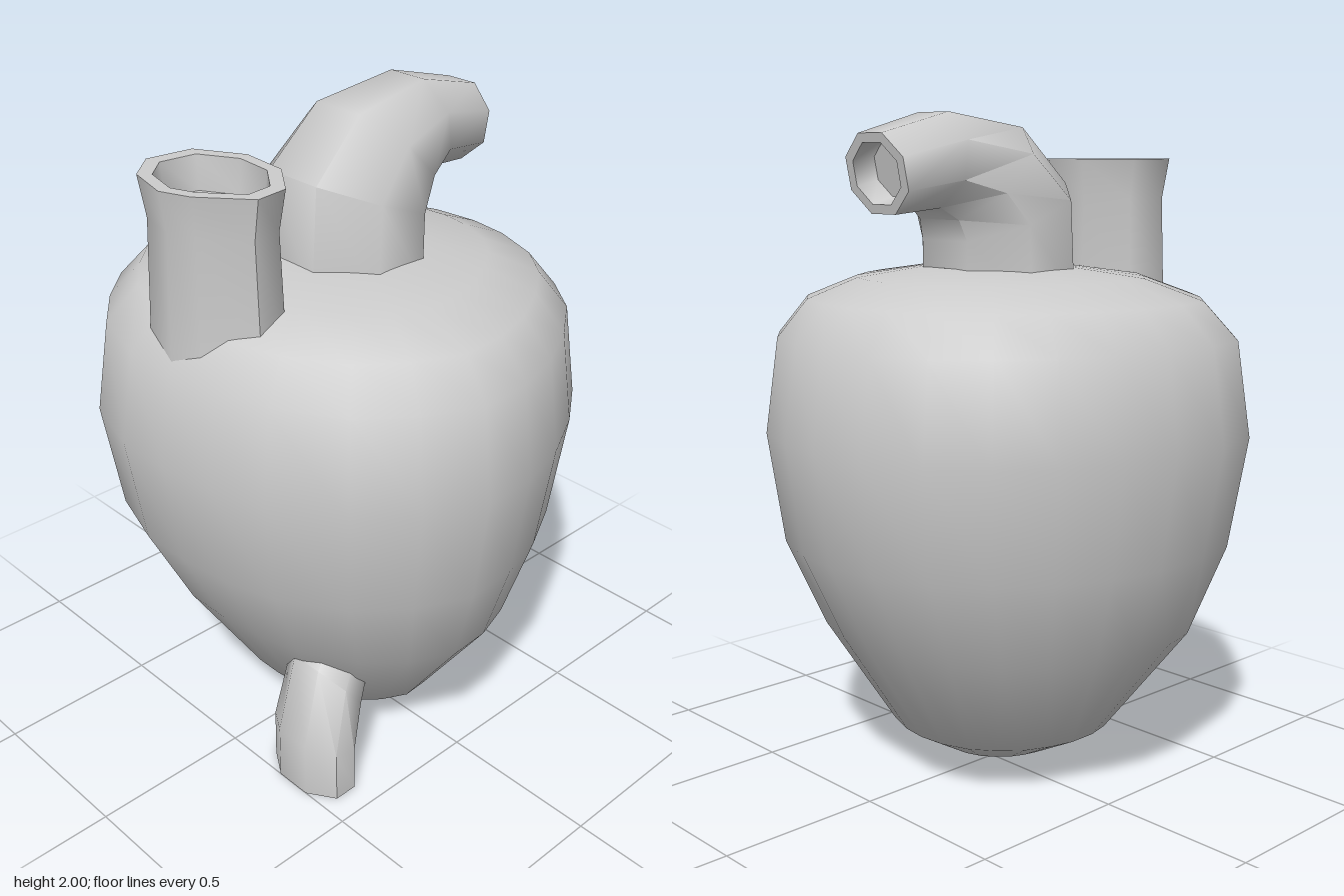
import * as THREE from 'three';
import { toCreasedNormals } from 'three/addons/utils/BufferGeometryUtils.js';

const grey = new THREE.MeshStandardMaterial({ color: 0xcccccc });

// Skin a list of closed rings (equal point counts); sharp rims stay creased
function loft(name, rings) {
  const n = rings[0].length, index = [];
  for (let r = 0; r < rings.length - 1; r++) {
    for (let i = 0; i < n; i++) {
      const a = r * n + i, b = r * n + (i + 1) % n;
      index.push(a, b, a + n, b, b + n, a + n);
    }
  }
  const geo = new THREE.BufferGeometry();
  geo.setAttribute('position', new THREE.Float32BufferAttribute(rings.flat(2), 3));
  geo.setIndex(index);
  const mesh = new THREE.Mesh(toCreasedNormals(geo, 0.95), grey);
  mesh.name = name;
  return mesh;
}

// Octagonal ring spanning from point a to point b in the xy plane, half depth hz
function spanRing([ax, ay, bx, by, hz], z, scale = 1, dx = 0, dy = 0) {
  const k = scale / Math.cos(Math.PI / 8);
  return Array.from({ length: 8 }, (_, i) => {
    const t = (i + 0.5) * Math.PI / 4, c = Math.cos(t) * k / 2;
    return [(ax + bx) / 2 + (bx - ax) * c + dx, (ay + by) / 2 + (by - ay) * c + dy,
      z - Math.sin(t) * hz * k];
  });
}

// Horizontal ring: an outline scaled about a centre
const flatRing = (outline, y, sx, sz, cx = 0, cz = 0) =>
  outline.map(([x, z]) => [cx + (x - cx) * sx, y, cz + (z - cz) * sz]);

export function createModel() {
  const group = new THREE.Group();

  // Main body: one rounded outline, scaled at each height
  const bodyOutline = [
    [-0.2, -0.73], [0, -0.73], [0.17, -0.69], [0.34, -0.62], [0.48, -0.51], [0.6, -0.37],
    [0.67, -0.2], [0.69, -0.02], [0.67, 0.14], [0.6, 0.33], [0.49, 0.47], [0.34, 0.58],
    [0.17, 0.67], [0, 0.72], [-0.18, 0.73], [-0.35, 0.65], [-0.5, 0.53], [-0.62, 0.33],
    [-0.67, 0.16], [-0.69, -0.02], [-0.69, -0.2], [-0.62, -0.42], [-0.5, -0.57], [-0.37, -0.69],
  ].reverse();
  const bodyLevels = [
    [0.065, 0, 0], [0.07, 0.24, 0.27], [0.15, 0.44, 0.48], [0.48, 0.74, 0.81], [0.75, 0.93, 0.93],
    [1.08, 1, 1], [1.36, 0.94, 0.95], [1.47, 0.81, 0.82], [1.53, 0.6, 0.59], [1.56, 0.3, 0.3],
    [1.56, 0, 0],
  ];
  group.add(loft('body', bodyLevels.map(([y, sx, sz]) => flatRing(bodyOutline, y, sx, sz))));

  // Upright vessel with a flared, hollow mouth
  const mouth = [
    [-0.51, -0.25], [-0.37, -0.23], [-0.29, -0.09], [-0.3, 0.06],
    [-0.39, 0.18], [-0.49, 0.19], [-0.6, 0.06], [-0.635, -0.03], [-0.6, -0.17],
  ].reverse();
  const uprightLevels = [
    [1.2, 0.98], [1.42, 0.96], [1.75, 0.9], [1.87, 1], [1.87, 0.79], [1.77, 0.74], [1.77, 0],
  ];
  group.add(loft('uprightVessel',
    uprightLevels.map(([y, s]) => flatRing(mouth, y, s, s, -0.46, -0.03))));

  // Arched vessel bending over to the left, hollow at its end
  const arch = [
    [-0.22, 1.48, 0.2, 1.48, 0.235], [-0.2, 1.8, 0.2, 1.64, 0.232], [-0.03, 1.96, 0.22, 1.7, 0.205],
    [0.24, 2, 0.27, 1.735, 0.157], [0.47, 1.94, 0.425, 1.72, 0.125],
  ];
  const archEnd = arch[4];
  group.add(loft('archedVessel', [
    ...arch.map((s) => spanRing(s, -0.012)),
    spanRing(archEnd, -0.012, 0.76),
    spanRing(archEnd, -0.012, 0.7, -0.07, 0.014),
    spanRing(archEnd, -0.012, 0, -0.07, 0.014),
  ]));

  // Bent lower vessel, hollow at the foot and running up into the body
  const lower = [
    [-0.5, 0, -0.32, 0, 0.14], [-0.5, 0.18, -0.32, 0.13, 0.138],
    [-0.42, 0.41, -0.27, 0.22, 0.125], [-0.25, 0.52, -0.14, 0.38, 0.1],
  ];
  group.add(loft('lowerVessel', [
    spanRing(lower[0], 0.28, 0, 0, 0.07),
    spanRing(lower[0], 0.28, 0.72, 0, 0.07),
    spanRing(lower[0], 0.28, 0.78),
    ...lower.map((s, i) => spanRing(s, [0.28, 0.28, 0.26, 0.2][i])),
  ]));

  return group;
}
